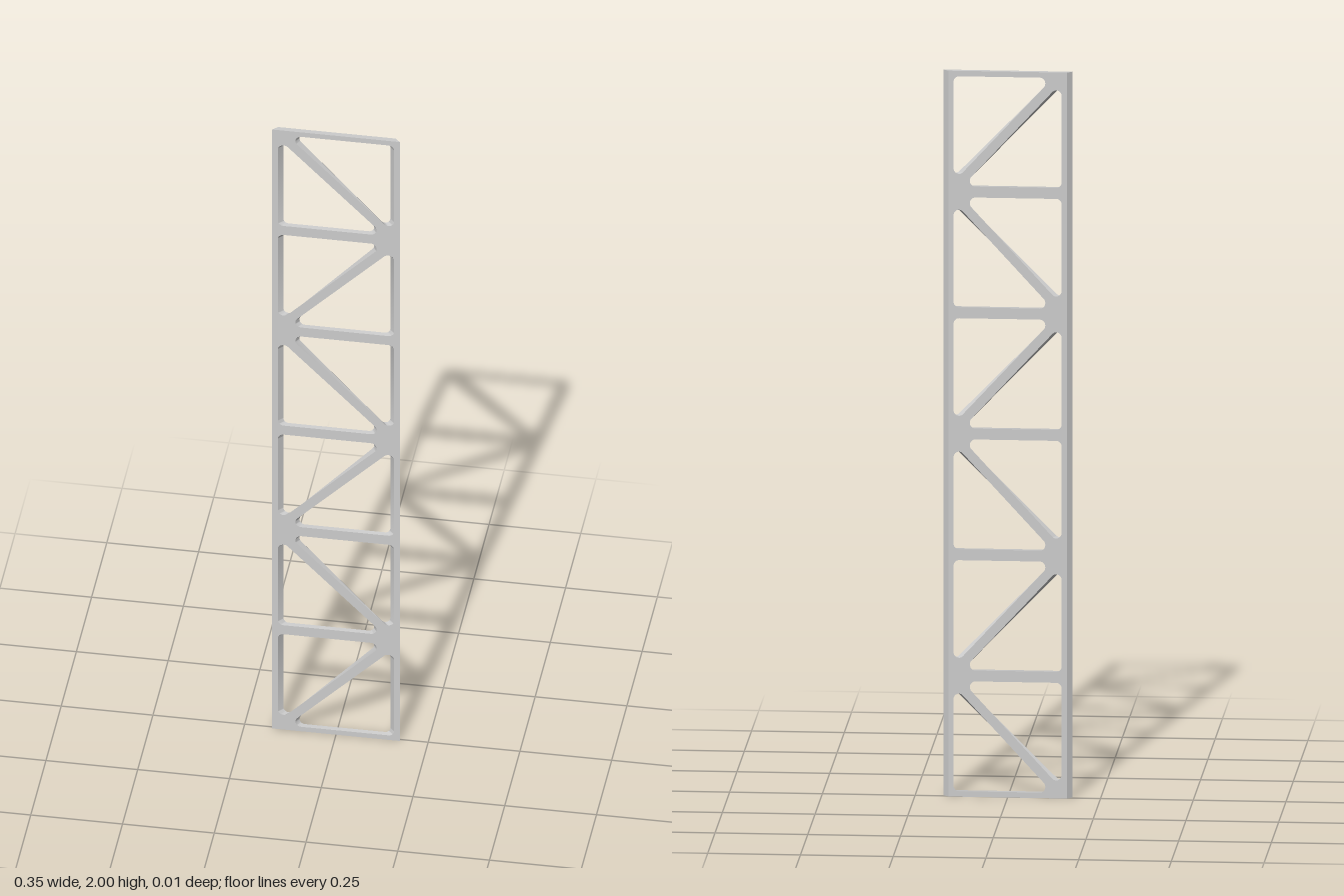
import * as THREE from 'three';
import { toCreasedNormals } from 'three/addons/utils/BufferGeometryUtils.js';

const HALF_W = 0.174, HEIGHT = 2, DEPTH = 0.014, BACK_HALF_W = 0.16;
const BAYS = 6, BAY = HEIGHT / BAYS;
const RAIL = 0.015;   // half the height of a cross rail
const STILE = 0.0155; // width of the side strips
const BRACE = 0.0185; // vertical offset from the brace centre line to its edge
const RADIUS = 0.016;

// Closed path round a counter-clockwise polygon with filleted corners
function roundedPath(points, radius) {
  const path = new THREE.Path();
  const n = points.length;
  points.forEach((p, i) => {
    const into = p.clone().sub(points[(i + n - 1) % n]).normalize();
    const out = points[(i + 1) % n].clone().sub(p).normalize();
    const bisector = out.clone().sub(into).normalize();
    const halfAngle = Math.acos(bisector.dot(out));
    const c = p.clone().addScaledVector(bisector, radius / Math.sin(halfAngle));
    path.absarc(c.x, c.y, radius, into.angle() - Math.PI / 2, out.angle() - Math.PI / 2, false);
  });
  path.closePath();
  return path;
}

// The two triangular openings either side of a bay's diagonal brace
function bayOpenings(index) {
  const y0 = index * BAY, mid = y0 + BAY / 2;
  const x = HALF_W - STILE, h = BAY / 2 - RAIL;
  const upper = [[-x, h], [-x, -x + BRACE], [h - BRACE, h]];
  const lower = upper.map(([a, b]) => [-a, -b]);
  const flip = index % 2 ? -1 : 1; // braces alternate direction
  return [upper, lower].map((tri) => {
    const pts = tri.map(([a, b]) => new THREE.Vector2(a, mid + flip * b));
    if (flip < 0) pts.reverse();
    return roundedPath(pts, RADIUS);
  });
}

export function createModel() {
  const group = new THREE.Group();
  group.name = 'trussPanel';

  // Flat panel outline with the openings cut through
  const shape = new THREE.Shape([
    new THREE.Vector2(-HALF_W, 0), new THREE.Vector2(HALF_W, 0),
    new THREE.Vector2(HALF_W, HEIGHT), new THREE.Vector2(-HALF_W, HEIGHT),
  ]);
  for (let i = 0; i < BAYS; i++) shape.holes.push(...bayOpenings(i));

  const geometry = new THREE.ExtrudeGeometry(shape, { depth: DEPTH, bevelEnabled: false, curveSegments: 8 });
  geometry.translate(0, 0, -DEPTH / 2);

  // Narrow the back face so the sides slope inward
  const pos = geometry.attributes.position;
  for (let i = 0; i < pos.count; i++) {
    if (pos.getZ(i) < 0) pos.setX(i, pos.getX(i) * BACK_HALF_W / HALF_W);
  }

  const frame = new THREE.Mesh(
    toCreasedNormals(geometry, 0.6),
    new THREE.MeshStandardMaterial({ color: 0xcccccc }),
  );
  frame.name = 'bracedFrame';
  group.add(frame);
  return group;
}
